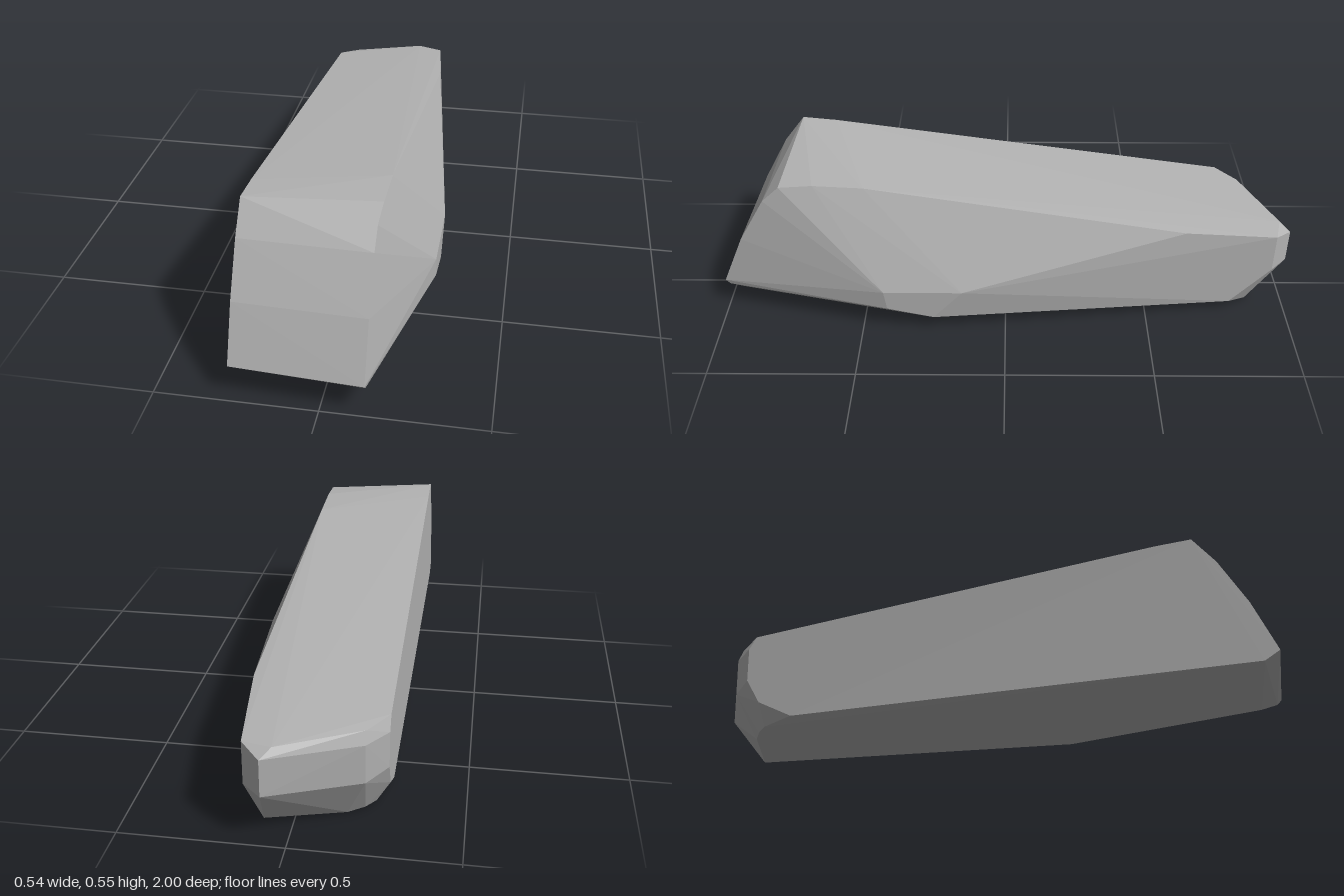
import * as THREE from 'three';
import { ConvexGeometry } from 'three/addons/geometries/ConvexGeometry.js';

const stone = new THREE.MeshStandardMaterial({ color: 0xb2b2b2, flatShading: true });
stone.name = 'grey stone';

// Each outline is a short run of corners [x, y, z]; the block is their convex skin.
const L = -0.272;
const outlines = {
  flatSide: [
    [L, 0.113, 0.98], [L, 0.08, 0.93], [L, 0.29, 0.905], [L, 0.45, 0.815], [L, 0.545, 0.74],
    [L, 0.533, 0.62], [L, 0.335, -0.78], [L, 0.29, -0.805], [L, 0.17, -0.8],
    [L, 0.085, -0.75], [L, 0.025, -0.63],
  ],
  frontRightEdge: [
    [0.135, 0.11, 1], [0.135, 0.094, 0.985], [0.135, 0.08, 0.93], [0.135, 0.29, 0.92],
    [0.135, 0.45, 0.825], [0.135, 0.505, 0.765], [0.135, 0.513, 0.65], [0.135, 0.504, 0.48],
  ],
  bulge: [
    [0.272, 0.165, 0.42], [0.272, 0.165, 0.15], [0.272, 0.095, 0.41], [0.272, 0.057, 0.25],
  ],
  backRightEdge: [
    [0.165, 0.345, -0.62], [0.132, 0.305, -0.94], [0.132, 0.165, -0.94], [0.15, 0.035, -0.8],
  ],
  backEnd: [
    [0.04, 0.309, -0.965], [0.07, 0.285, -1], [0.07, 0.165, -1], [0.09, 0.003, -0.87],
    [-0.21, 0.32, -0.855], [-0.21, 0.28, -0.872], [-0.21, 0.15, -0.865],
    [-0.15, 0, -0.8], [-0.2, 0.004, -0.77], [-0.23, 0.01, -0.74],
  ],
};

export function createModel() {
  const group = new THREE.Group();
  const points = Object.values(outlines).flat().map((p) => new THREE.Vector3(...p));
  const block = new THREE.Mesh(new ConvexGeometry(points), stone);
  block.name = 'stoneBlock';
  group.add(block);
  return group;
}
